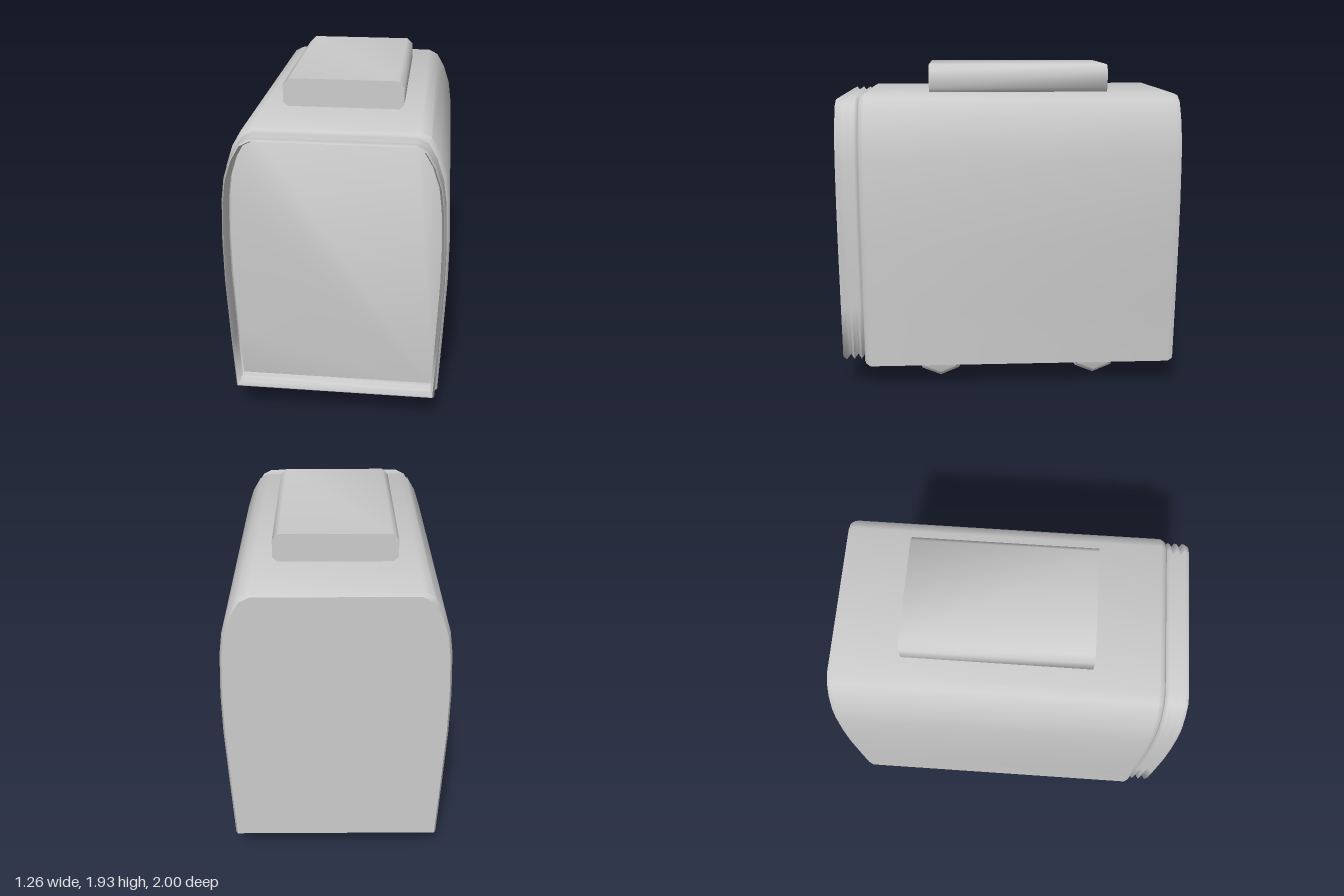
import * as THREE from 'three';
import { toCreasedNormals } from 'three/addons/utils/BufferGeometryUtils.js';

// Half outline of the carriage, from the lower edge up to the roof
const HALF = [[0.6, 0.15], [0.615, 0.5], [0.63, 0.9], [0.63, 1.15], [0.618, 1.4],
  [0.6, 1.53], [0.56, 1.65], [0.51, 1.735], [0.45, 1.765]];

// Closed outline, counter-clockwise from the front, shrunk by an inset
function outline(inset, bottom = 0.15) {
  const fit = ([x, y]) => [x * (1 - inset / 0.63),
    Math.max(bottom + inset, 0.957 + (y - 0.957) * (1 - inset / 0.81))];
  const right = HALF.map(fit);
  return [...right, ...right.map(([x, y]) => [-x, y]).reverse()];
}

// Skin over [z, inset] rings running from back to front
function loft(rings, { bottom, caps = false, crease }) {
  const pos = [], idx = [];
  const n = HALF.length * 2;
  for (const [z, inset] of rings) for (const [x, y] of outline(inset, bottom)) pos.push(x, y, z);
  for (let s = 0; s < rings.length - 1; s++) {
    for (let i = 0; i < n; i++) {
      const j = (i + 1) % n, a = s * n + i, b = s * n + j;
      idx.push(a, b, b + n, a, b + n, a + n);
    }
  }
  if (caps) {
    const f = (rings.length - 1) * n;
    for (let i = 1; i < n - 1; i++) idx.push(0, i + 1, i, f, f + i, f + i + 1);
  }
  const g = new THREE.BufferGeometry();
  g.setAttribute('position', new THREE.Float32BufferAttribute(pos, 3));
  g.setIndex(idx);
  return toCreasedNormals(g, crease);
}

export function createModel() {
  const model = new THREE.Group();
  model.name = 'carriage';
  const grey = new THREE.MeshStandardMaterial({ color: 0xcccccc });
  grey.name = 'grey';
  const greyOpen = new THREE.MeshStandardMaterial({ color: 0xcccccc, side: THREE.DoubleSide });
  greyOpen.name = 'grey open';

  function add(name, geometry, x = 0, y = 0, z = 0, material = grey) {
    const mesh = new THREE.Mesh(geometry, material);
    mesh.name = name;
    mesh.position.set(x, y, z);
    model.add(mesh);
    return mesh;
  }

  // Body shell with softened ends
  add('body', loft([[-1, 0.014], [-0.97, 0], [0.835, 0], [0.86, 0.012], [0.87, 0.026]],
    { caps: true, crease: 0.75 }));

  // Open folded gangway at the front
  add('bellows', loft([[0.868, 0.042], [0.888, 0.018], [0.91, 0.042], [0.932, 0.018],
    [0.954, 0.042], [0.976, 0.018], [1, 0.03]], { bottom: 0.175, crease: 2 }), 0, 0, 0, greyOpen);

  // Roof unit with chamfered long edges
  const w = 0.345, c = 0.036, lo = 1.755, hi = 1.927;
  const unit = new THREE.Shape([[-w + c, lo], [w - c, lo], [w, lo + c], [w, hi - c],
    [w - c, hi], [-w + c, hi], [-w, hi - c], [-w, lo + c]].map(([x, y]) => new THREE.Vector2(x, y)));
  add('roofUnit', toCreasedNormals(
    new THREE.ExtrudeGeometry(unit, { depth: 1.065, bevelEnabled: false }), 0.9), 0, 0, -0.6);

  // Thin plate under the floor
  add('floorPlate', new THREE.BoxGeometry(0.96, 0.02, 1.4), 0, 0.155, -0.06);

  // Flanged wheel turned about its axle: inner hub, flange, tread, outer face
  const wheel = toCreasedNormals(new THREE.LatheGeometry([[0, -0.035], [0.14, -0.03], [0.162, -0.02],
    [0.162, -0.008], [0.146, 0.004], [0.14, 0.026], [0.125, 0.035], [0, 0.035]]
    .map(([r, h]) => new THREE.Vector2(r, h)), 8), 0.85);
  for (const z of [0.42, -0.54]) {
    for (const side of [1, -1]) {
      const mesh = add(side > 0 ? 'leftWheel' : 'rightWheel', wheel, side * 0.4, 0.164, z);
      mesh.rotation.z = -side * Math.PI / 2;
    }
    add('axle', new THREE.CylinderGeometry(0.024, 0.024, 0.76, 8), 0, 0.16, z).rotation.z = Math.PI / 2;
  }
  return model;
}
